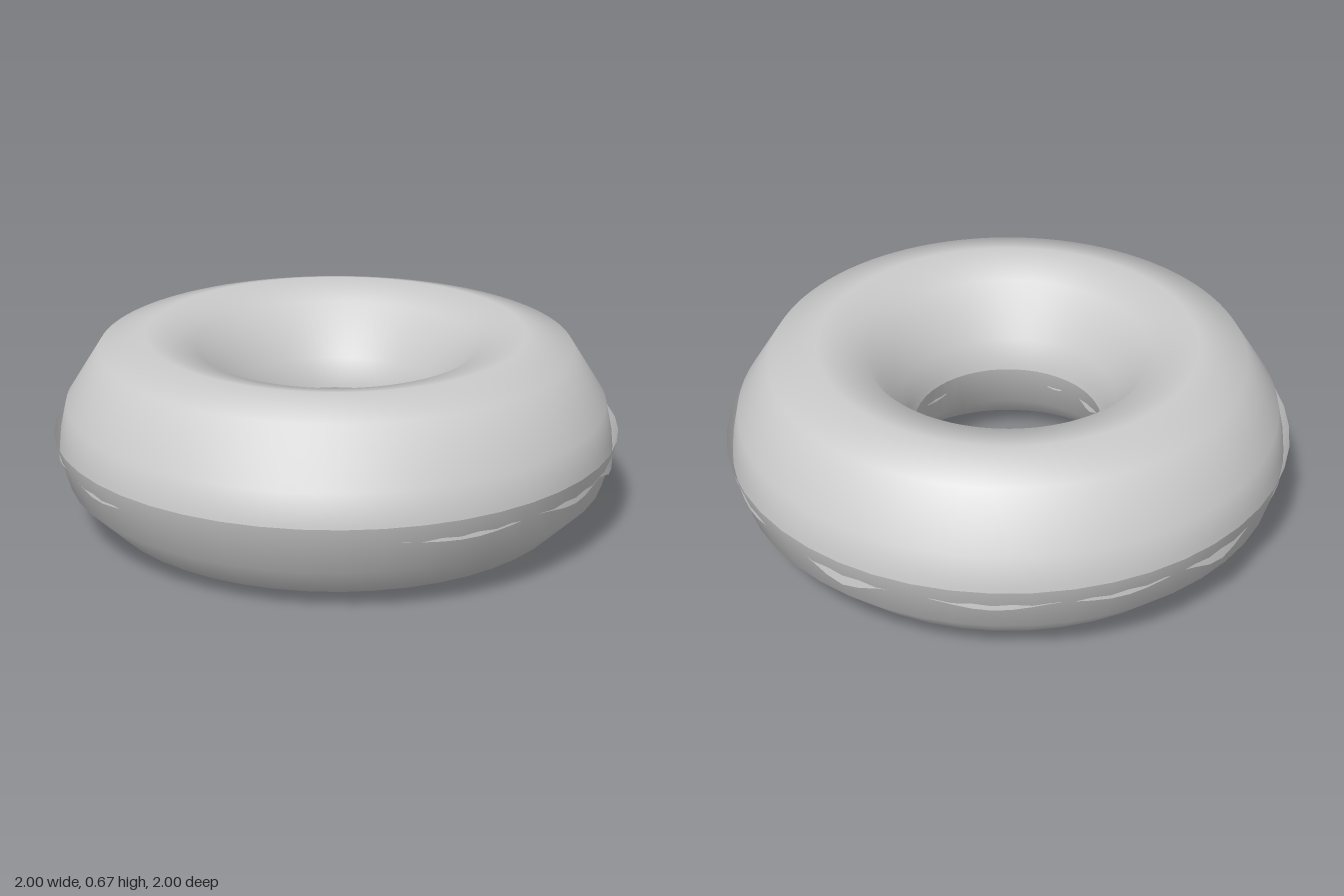
import * as THREE from 'three';
import { mergeVertices } from 'three/addons/utils/BufferGeometryUtils.js';

const R = 2 / 3, r = 1 / 3, SEGMENTS = 48;

// Drips of the icing: [angle in degrees, depth, width in degrees]
const outerDrips = [[15, 0.03, 9], [36, 0.048, 7], [62, 0.03, 6], [75, 0.025, 8], [105, 0.046, 7],
  [135, 0.028, 10], [160, 0.025, 10], [183, 0.046, 7], [210, 0.02, 9], [240, 0.035, 9], [268, 0.02, 8], [347, 0.022, 12]];
const innerDrips = outerDrips.map(([a, d, w]) => [(a + 20) % 360, d, w]);

function dripDepth(drips, angle) {
  let depth = 0;
  for (const [a, d, w] of drips) {
    const diff = ((angle - a + 540) % 360) - 180;
    depth = Math.max(depth, d * Math.exp(-((diff / w) ** 2)));
  }
  return depth;
}

// Closes the lathe seam so that the shading is smooth all the way round
function smooth(geometry) {
  geometry.deleteAttribute('uv');
  geometry.deleteAttribute('normal');
  const merged = mergeVertices(geometry, 1e-4);
  merged.computeVertexNormals();
  return merged;
}

const ringPoint = (deg) => {
  const a = THREE.MathUtils.degToRad(deg);
  return new THREE.Vector2(R + r * Math.cos(a), r + r * Math.sin(a));
};

export function createModel() {
  const group = new THREE.Group();
  group.name = 'doughnut';
  const material = new THREE.MeshStandardMaterial({ color: 0xcccccc, side: THREE.DoubleSide });

  // Dough: lower half of a ring, from the inner to the outer equator
  const doughProfile = [];
  for (let deg = 180; deg <= 360; deg += 30) doughProfile.push(ringPoint(deg));
  const dough = new THREE.Mesh(smooth(new THREE.LatheGeometry(doughProfile, SEGMENTS)), material);
  dough.name = 'dough';
  group.add(dough);

  // Icing: sagging upper half, mirrored about the middle of the ring
  const outerSide = [[0.315, 0.28], [0.309, 0.335], [0.287, 0.433]];
  const icingProfile = [
    ...outerSide.map(([d, y]) => new THREE.Vector2(R + d, y)),
    ringPoint(60), ringPoint(90), ringPoint(120),
    ...outerSide.slice().reverse().map(([d, y]) => new THREE.Vector2(R - d, y)),
  ];
  const icingGeometry = new THREE.LatheGeometry(icingProfile, SEGMENTS * 2);
  const position = icingGeometry.attributes.position;
  const count = icingProfile.length;

  // Pull both lower edges down into wavy drips that stand clear of the dough
  for (let i = 0; i < position.count; i++) {
    const j = i % count;
    if (j !== 0 && j !== count - 1) continue;
    const outer = j === 0;
    const angle = (Math.floor(i / count) * 360 / (SEGMENTS * 2)) % 360;
    const depth = dripDepth(outer ? outerDrips : innerDrips, angle);
    const radius = icingProfile[j].x;
    const scale = (radius + (outer ? 0.1 : -0.1) * depth) / radius;
    position.setXYZ(i, position.getX(i) * scale, position.getY(i) - depth, position.getZ(i) * scale);
  }
  const icing = new THREE.Mesh(smooth(icingGeometry), material);
  icing.name = 'icing';
  group.add(icing);

  return group;
}
